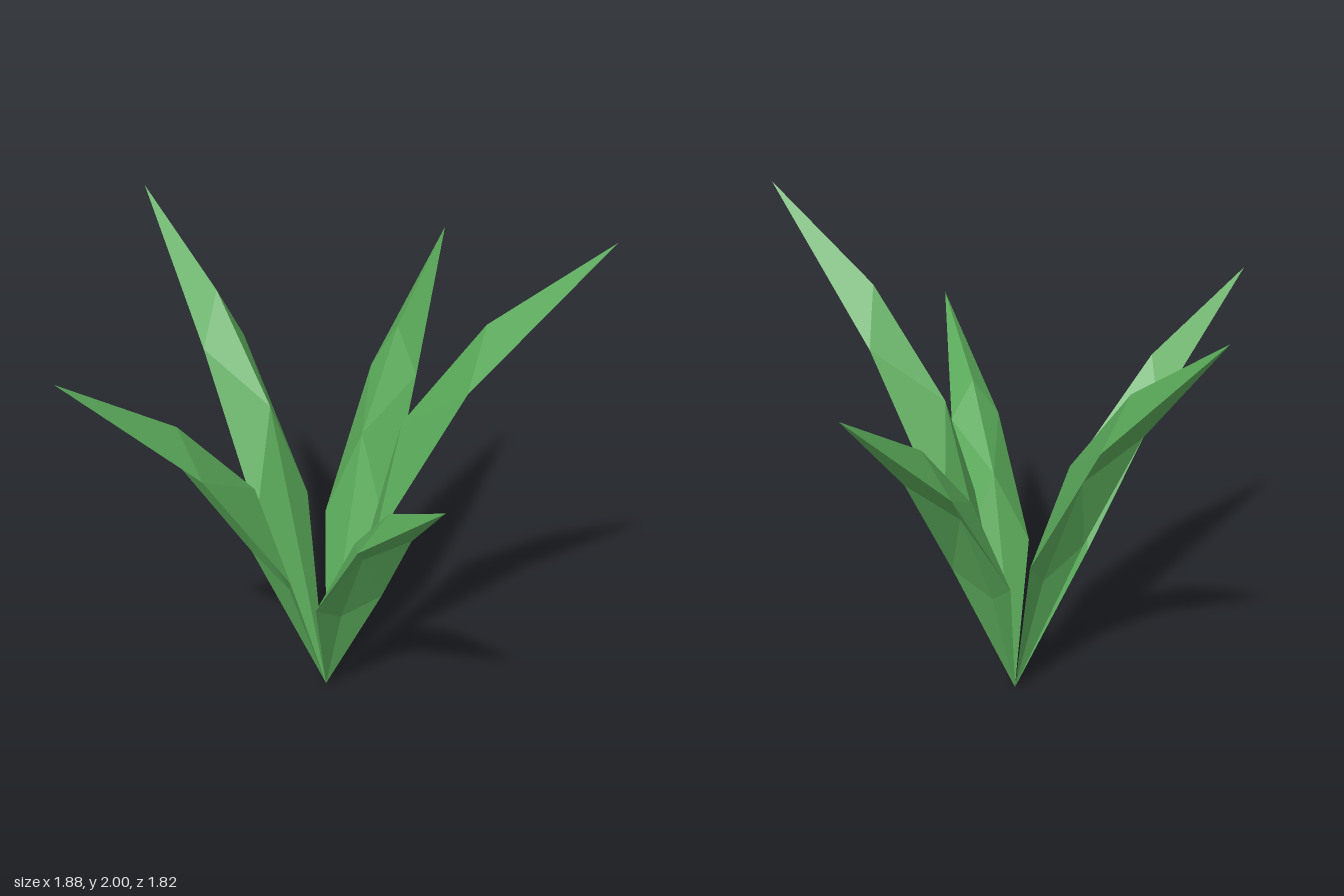
import * as THREE from 'three';

// Leaf points: x = reach outwards, y = share of the leaf height, z = half width
const root = [0, 0, 0], tip = [1, 1, 0];
const edge1 = [0.24, 0.4, 0.133], edge2 = [0.558, 0.72, 0.1];
const ridge1 = [0.297, 0.62, 0], ridge2 = [0.588, 0.83, 0];
const under1 = [0.163, 0.32, 0], under2 = [0.37, 0.6, 0];

// Faces of one half of the leaf: ridged top, then shallow hollow underside
const halfLeaf = [
  [root, edge1, ridge1], [edge1, edge2, ridge1], [edge2, ridge2, ridge1], [edge2, tip, ridge2],
  [root, under1, edge1], [under1, under2, edge1], [edge1, under2, edge2], [under2, tip, edge2],
];

function leafGeometry(reach, height) {
  const positions = [];
  for (const side of [1, -1]) {
    for (const face of halfLeaf) {
      const corners = side > 0 ? face : [...face].reverse();
      for (const [x, y, z] of corners) positions.push(x * reach, y * height, z * side);
    }
  }
  const geometry = new THREE.BufferGeometry();
  geometry.setAttribute('position', new THREE.Float32BufferAttribute(positions, 3));
  geometry.computeVertexNormals();
  return geometry;
}

export function createModel() {
  const plant = new THREE.Group();
  plant.name = 'plant';
  const material = new THREE.MeshStandardMaterial({ color: 0x5cad5c, flatShading: true });
  const base = new THREE.Vector3(-0.055, 0, 0.08);

  // Tip position of each leaf
  const leaves = [
    ['leftLeaf', 0.94, 2.0, 0.08],
    ['backLeaf', 0.11, 1.62, -0.91],
    ['rightLeaf', -0.945, 1.85, -0.365],
    ['frontRightLeaf', -0.65, 1.63, 0.91],
    ['frontLeftLeaf', 0.605, 1.36, 0.825],
  ];
  for (const [name, x, y, z] of leaves) {
    const dx = x - base.x, dz = z - base.z;
    const leaf = new THREE.Mesh(leafGeometry(Math.hypot(dx, dz), y), material);
    leaf.name = name;
    leaf.position.copy(base);
    leaf.rotation.y = Math.atan2(-dz, dx);
    plant.add(leaf);
  }
  return plant;
}
